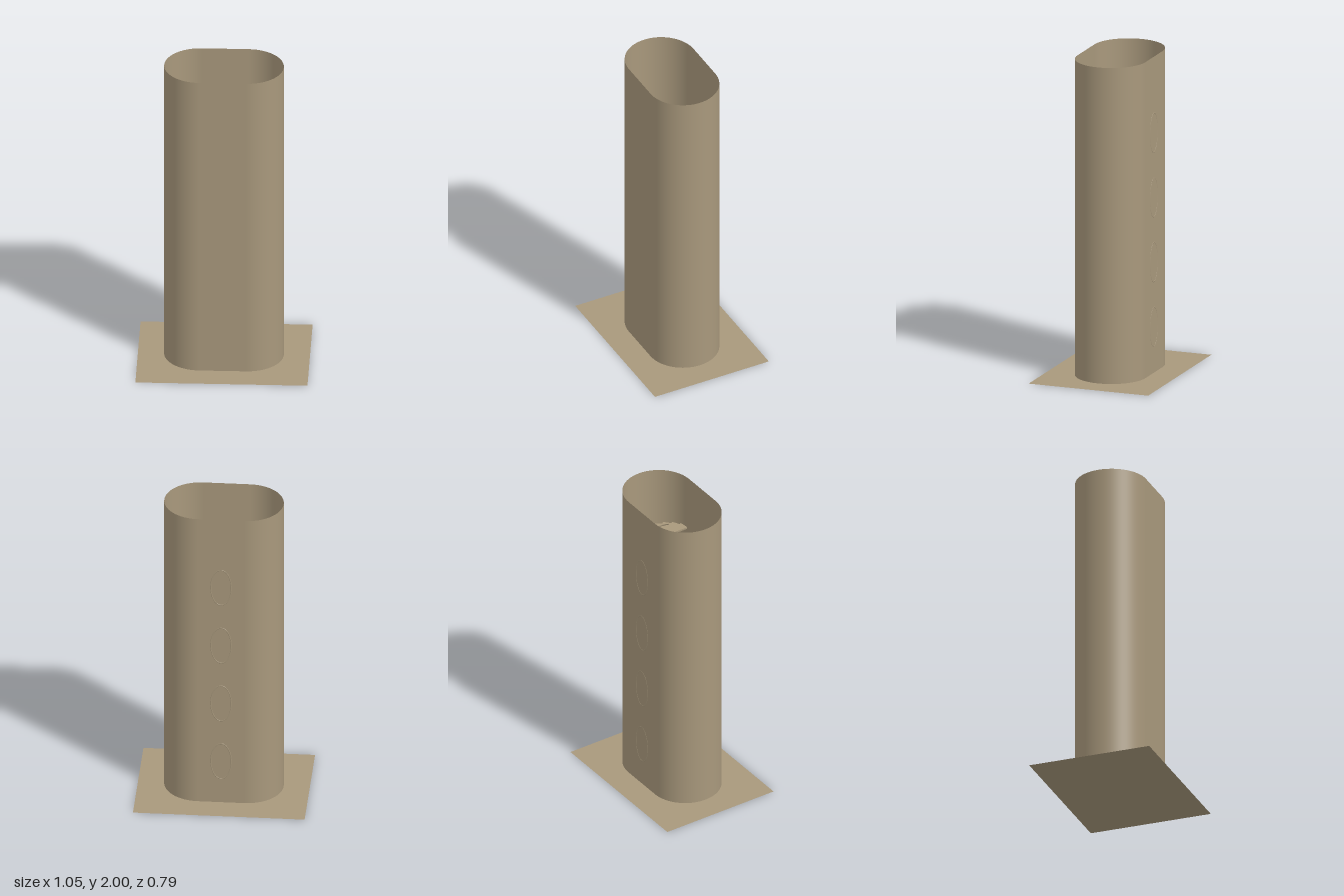
import * as THREE from 'three';
import { mergeGeometries } from 'three/addons/utils/BufferGeometryUtils.js';
import { ParametricGeometry } from 'three/addons/geometries/ParametricGeometry.js';

const HALF = 0.143;               // half length of the straight sides
const WALL_R = 0.2235;            // end radius of the outer wall
const STEP_IN = 0.075, STEP_OUT = 0.21;
const MID_R = (STEP_IN + STEP_OUT) / 2;
const STRAIGHT = 2 * HALF, ARC = Math.PI * MID_R;
const LOOP = 2 * (STRAIGHT + ARC);
const STEPS = 36, TURNS = 4, TURN_RISE = 0.412;

// Point on a rounded-end loop of end radius r; t = 1 is one full turn,
// starting at the front right corner and running clockwise seen from above.
function onLoop(t, r, y, target = new THREE.Vector3()) {
  let s = (((t % 1) + 1) % 1) * LOOP;
  const side = s < LOOP / 2 ? 1 : -1;
  if (side < 0) s -= LOOP / 2;
  let x, z;
  if (s <= STRAIGHT) {
    x = HALF - s;
    z = r;
  } else {
    const a = (s - STRAIGHT) / MID_R;
    x = -HALF - Math.sin(a) * r;
    z = Math.cos(a) * r;
  }
  return target.set(side * x, y, side * z);
}

class RailCurve extends THREE.Curve {
  getPoint(u, target = new THREE.Vector3()) {
    const t = u * TURNS;
    return onLoop(t, 0.07, t * TURN_RISE + 0.075, target);
  }
}

class OvalCurve extends THREE.Curve {
  getPoint(u, target = new THREE.Vector3()) {
    const a = u * Math.PI * 2;
    return target.set(Math.cos(a) * 0.063, Math.sin(a) * 0.124, 0);
  }
}

export function createModel() {
  const model = new THREE.Group();
  const stone = new THREE.MeshStandardMaterial({ color: 0xa8987c, side: THREE.DoubleSide });
  stone.name = 'warm stone';
  const add = (name, geometry) => {
    const mesh = new THREE.Mesh(geometry, stone);
    mesh.name = name;
    model.add(mesh);
    return mesh;
  };

  // Flat ground sheet
  add('basePlate', new THREE.PlaneGeometry(1.054, 0.786).rotateX(-Math.PI / 2));

  // Open tower wall without a cap
  add('towerWall', new ParametricGeometry(
    (u, v, p) => onLoop(1 - u, WALL_R, v * 2, p), 180, 1));

  // Oval window frames set into the back wall
  for (let i = 0; i < 4; i++) {
    const frame = add('windowFrame', new THREE.TubeGeometry(new OvalCurve(), 48, 0.0065, 8, true));
    frame.position.set(0, 0.29 + i * 0.41, -0.2185);
  }

  // Winding stair: one solid tread per step
  const treads = [], posts = [];
  for (let i = 0; i < STEPS * TURNS; i++) {
    const outline = [];
    for (let k = 0; k <= 3; k++) {
      const p = onLoop((i + k / 3) / STEPS, STEP_OUT, 0);
      outline.push(new THREE.Vector2(p.x, -p.z));
    }
    for (let k = 3; k >= 0; k--) {
      const p = onLoop((i + k / 3) / STEPS, STEP_IN, 0);
      outline.push(new THREE.Vector2(p.x, -p.z));
    }
    const y = i * TURN_RISE / STEPS;
    const tread = new THREE.ExtrudeGeometry(new THREE.Shape(outline), { depth: 0.0115, bevelEnabled: false });
    treads.push(tread.rotateX(-Math.PI / 2).translate(0, y, 0));

    // A rail post on every sixth step
    if (i % 6 === 0) {
      const p = onLoop((i + 0.5) / STEPS, 0.071, y + 0.04);
      posts.push(new THREE.CylinderGeometry(0.006, 0.006, 0.08, 8).translate(p.x, p.y, p.z));
    }
  }
  add('stairTreads', mergeGeometries(treads));
  add('railPosts', mergeGeometries(posts));

  // Handrail climbing around the open well
  add('handrail', new THREE.TubeGeometry(new RailCurve(), 400, 0.004, 6, false));

  return model;
}
